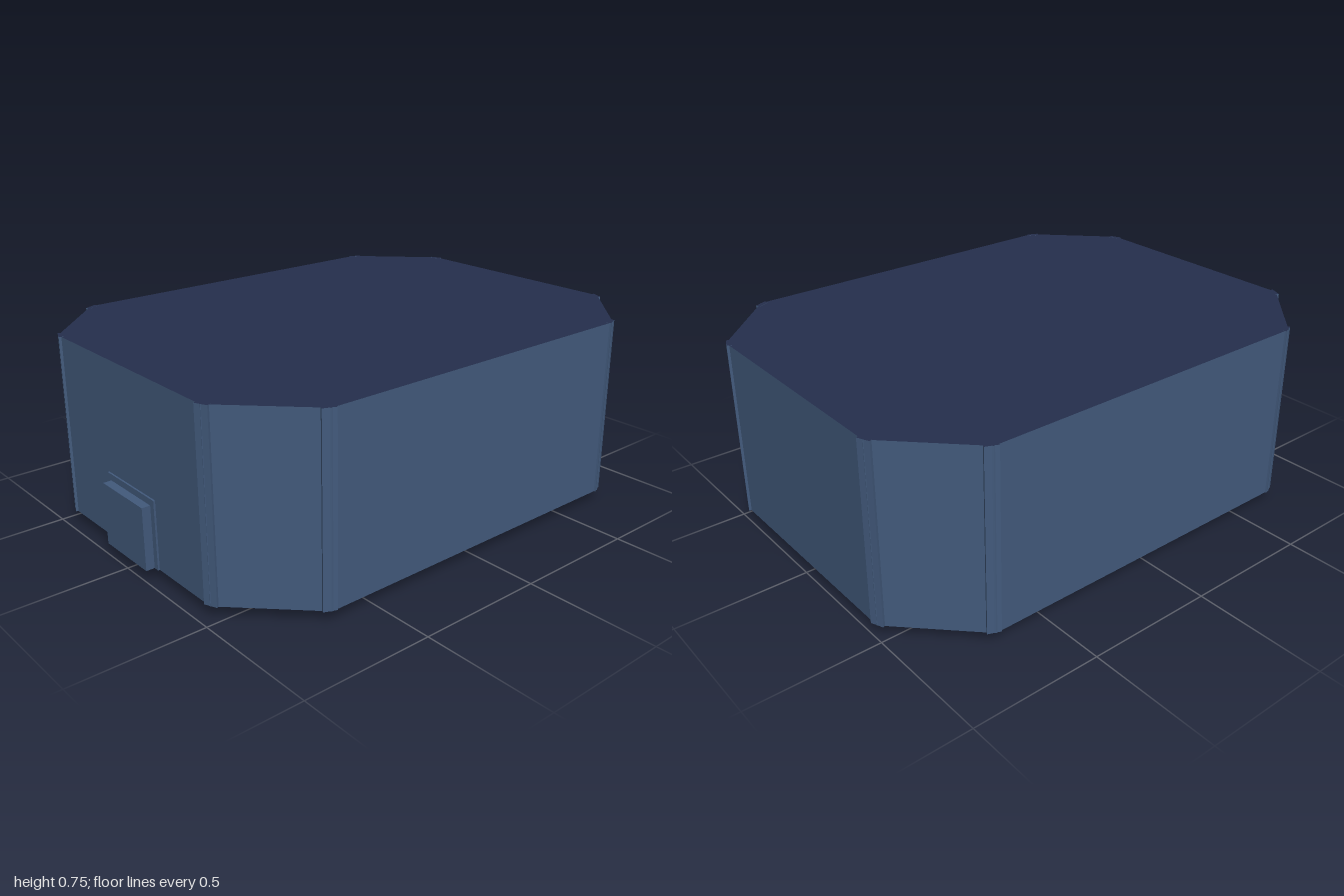
import * as THREE from 'three';

const C = -0.016; // depth centre of the main block
const BOTTOM = 0.045, TOP = 0.745, ROOF = 0.735;

// Eight corners of the block outline, drawn in by a wall thickness
function octagon(inset = 0) {
  const x = 0.745 - inset, z = 0.976 - inset, cut = 0.28 - inset * 0.586;
  return [
    [x - cut, z], [x, z - cut], [x, cut - z], [x - cut, -z],
    [cut - x, -z], [-x, cut - z], [-x, z - cut], [cut - x, z],
  ].map(([px, pz]) => [px, pz + C]);
}

const rectangle = (x, z0, z1) => [[-x, z1], [x, z1], [x, z0], [-x, z0]];
const toPoints = (list) => list.map(([x, z]) => new THREE.Vector2(x, -z));

// Upright prism from a plan outline, with an optional hole
function prism(outline, hole, y0, y1) {
  const shape = new THREE.Shape(toPoints(outline));
  if (hole) shape.holes.push(new THREE.Path(toPoints(hole)));
  const geometry = new THREE.ExtrudeGeometry(shape, { depth: y1 - y0, bevelEnabled: false });
  geometry.rotateX(-Math.PI / 2);
  geometry.translate(0, y0, 0);
  return geometry;
}

export function createModel() {
  const steel = new THREE.MeshStandardMaterial({ name: 'steelBlue', color: 0x425a7c });
  const navy = new THREE.MeshStandardMaterial({ name: 'navy', color: 0x252f4d });
  const model = new THREE.Group();
  model.name = 'building';

  function add(name, geometry, material, x = 0, y = 0, z = 0) {
    const mesh = new THREE.Mesh(geometry, material);
    mesh.name = name;
    mesh.position.set(x, y, z);
    model.add(mesh);
    return mesh;
  }

  // Hollow shell: walls, floor with an opening, dark roof
  const opening = rectangle(0.12, -0.33, 0.17);
  add('walls', prism(octagon(), octagon(0.02), BOTTOM, ROOF), steel);
  add('floor', prism(octagon(0.02), opening, BOTTOM, BOTTOM + 0.015), steel);
  add('roof', prism(octagon(), null, ROOF, TOP), [navy, steel]);

  // Foundation slab under the floor, with the same opening
  add('foundation', prism(rectangle(0.255, -0.58, 0.725), opening, 0, BOTTOM), steel);

  // Thin strips covering the eight corners
  const strip = new THREE.BoxGeometry(0.05, TOP - BOTTOM, 0.02);
  const stripMaterials = [steel, steel, navy, steel, steel, steel];
  for (const sx of [1, -1]) {
    for (const sz of [1, -1]) {
      for (const [x, z, tilt] of [[0.461, 0.966, Math.PI / 8], [0.732, 0.696, Math.PI * 3 / 8]]) {
        const post = add('cornerStrip', strip, stripMaterials, sx * x, (TOP + BOTTOM) / 2 + 0.0005, sz * z + C);
        post.rotation.y = Math.atan2(sx * Math.sin(tilt), sz * Math.cos(tilt));
      }
    }
  }

  // Front door in a shallow frame
  add('doorFrame', new THREE.BoxGeometry(0.31, 0.265, 0.02), steel, 0, BOTTOM + 0.1325, 0.957);
  add('door', new THREE.BoxGeometry(0.265, 0.24, 0.05), steel, 0, BOTTOM + 0.12, 0.975);

  return model;
}
